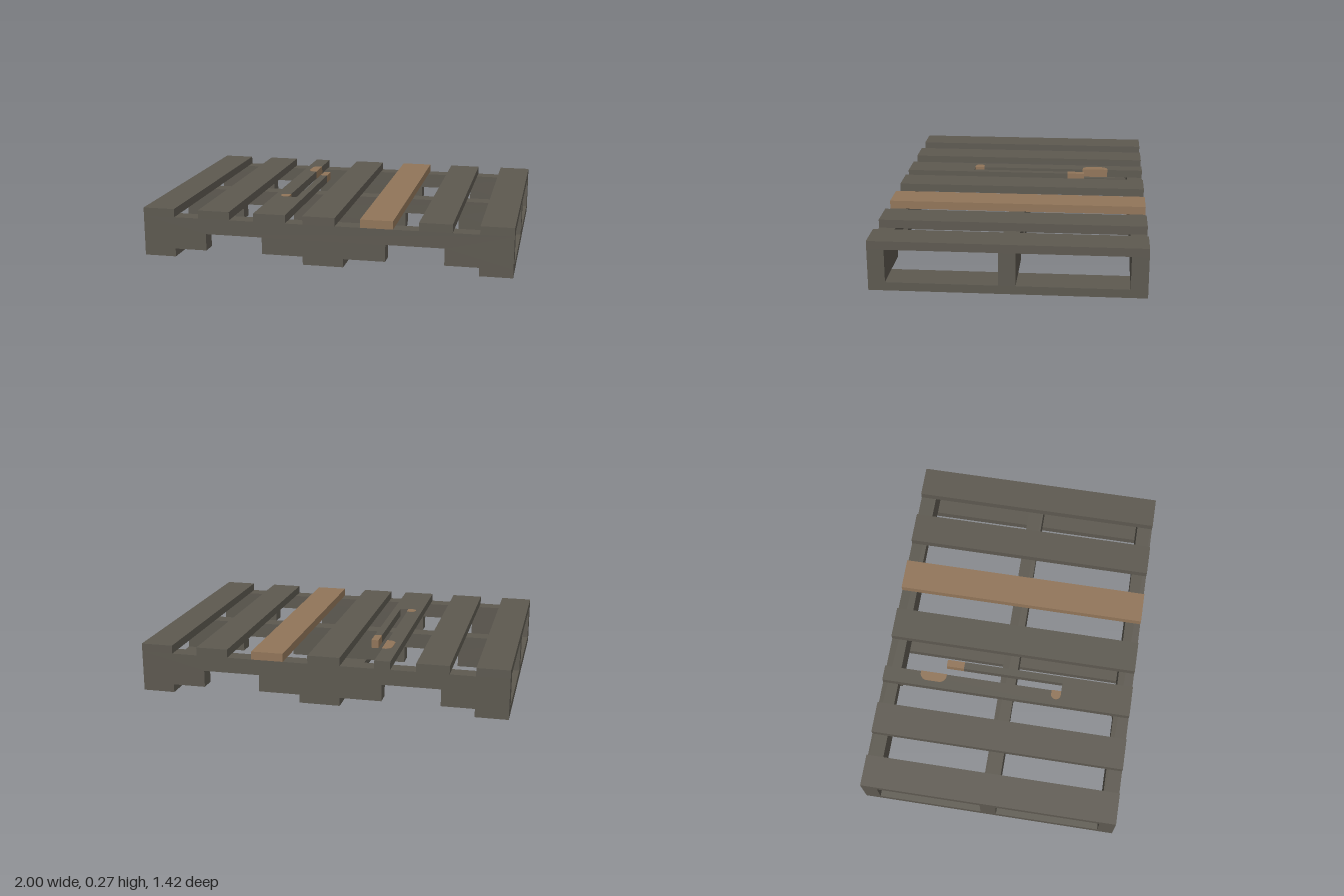
import * as THREE from 'three';

const HALF = 0.71, DECK = 0.222, TOP = 0.267, BOARD = 0.045;

export function createModel() {
  const pallet = new THREE.Group();
  pallet.name = 'pallet';
  const weathered = new THREE.MeshStandardMaterial({ color: 0x5d5950 });
  weathered.name = 'weatheredWood';
  const fresh = new THREE.MeshStandardMaterial({ color: 0x917559 });
  fresh.name = 'freshWood';

  const add = (name, geometry, material) => {
    const mesh = new THREE.Mesh(geometry, material);
    mesh.name = name;
    pallet.add(mesh);
    return mesh;
  };
  // Box given by its limits on each axis
  const box = (name, x0, x1, y0, y1, z0, z1, material = weathered) =>
    add(name, new THREE.BoxGeometry(x1 - x0, y1 - y0, z1 - z0), material)
      .position.set((x0 + x1) / 2, (y0 + y1) / 2, (z0 + z1) / 2);

  // Three stringers, each with two fork notches
  const outline = new THREE.Shape([
    [-1, BOARD], [-0.648, BOARD], [-0.648, 0.137], [-0.335, 0.137], [-0.335, BOARD],
    [0.335, BOARD], [0.335, 0.137], [0.645, 0.137], [0.645, BOARD], [1, BOARD],
    [1, DECK], [-1, DECK],
  ].map(([x, y]) => new THREE.Vector2(x, y)));
  for (const z of [-HALF, -0.044, HALF - 0.088]) {
    const geometry = new THREE.ExtrudeGeometry(outline, { depth: 0.088, bevelEnabled: false });
    add('stringer', geometry, weathered).position.z = z;
  }

  // Bottom boards
  for (const [x0, x1] of [[-1, -0.825], [-0.11, 0.11], [0.825, 1]])
    box('bottomBoard', x0, x1, 0, BOARD, -HALF, HALF);

  // Whole top boards, one of them a replacement
  for (const x of [-1, -0.69, -0.11, 0.51, 0.825])
    box('topBoard', x, x + 0.175, DECK, TOP, -HALF, HALF);
  box('replacementBoard', 0.2, 0.375, DECK, TOP, -HALF, HALF, fresh);

  // Split board: solid front part, long left strip, short broken right strip
  box('splitBoardFront', -0.38, -0.205, DECK, TOP, 0.31, HALF);
  box('splitBoardLeftStrip', -0.38, -0.295, DECK, TOP, -HALF, 0.31);
  box('splitBoardRightStrip', -0.245, -0.205, DECK, TOP, -0.26, 0.31);
  box('splinteredEnd', -0.245, -0.205, DECK, TOP, -0.36, -0.26, fresh);

  // Bare wood where the left strip is chipped: rounded top plate and side plate
  for (const [z0, z1, r] of [[-0.5, -0.35, 0.04], [0.255, 0.31, 0.027]]) {
    const x0 = -0.345, x1 = -0.295;
    const chip = new THREE.Shape();
    chip.moveTo(x1, -z1);
    chip.lineTo(x1, -z0);
    chip.lineTo(x0 + r, -z0);
    chip.absarc(x0 + r, -z0 - r, r, Math.PI / 2, Math.PI, false);
    chip.lineTo(x0, -z1 + r);
    chip.absarc(x0 + r, -z1 + r, r, Math.PI, Math.PI * 1.5, false);
    chip.closePath();
    const geometry = new THREE.ExtrudeGeometry(chip, { depth: 0.002, bevelEnabled: false, curveSegments: 8 });
    geometry.rotateX(-Math.PI / 2);
    add('chipTop', geometry, fresh).position.y = TOP;
    box('chipSide', x1, x1 + 0.002, DECK, TOP + 0.002, z0, z1, fresh);
  }
  return pallet;
}
